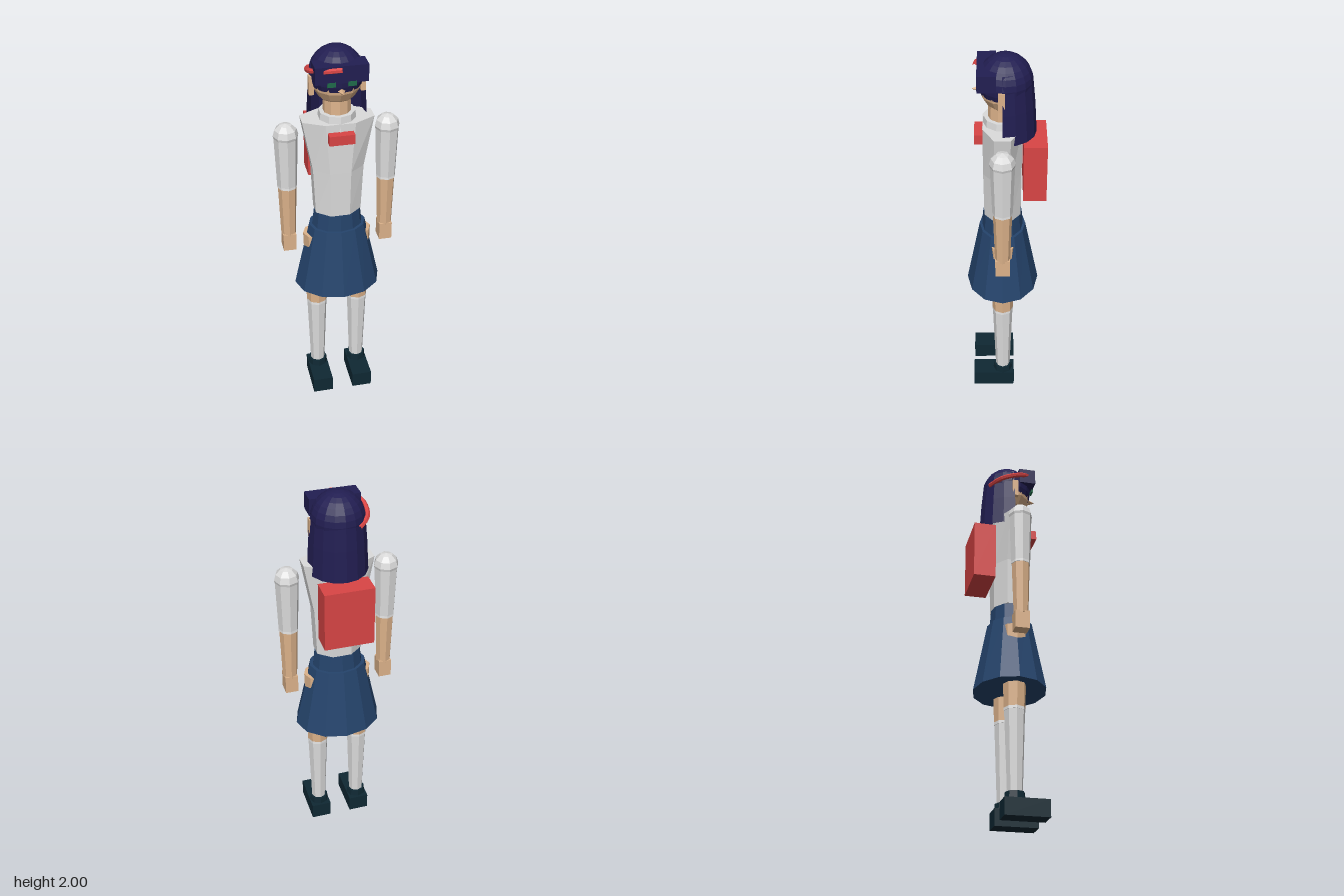
import * as THREE from 'three';

const mat = (name, color, double = false) => {
  const m = new THREE.MeshStandardMaterial({ color, flatShading: true });
  m.name = name;
  if (double) m.side = THREE.DoubleSide;
  return m;
};

export function createModel() {
  const hair = mat('hair purple', 0x221e52, true);
  const skin = mat('skin tan', 0xdcb28a);
  const shirt = mat('shirt grey', 0xdcdcdc);
  const trim = mat('trim white', 0xf8f8f8);
  const navy = mat('skirt navy', 0x25446c);
  const shoe = mat('shoe dark', 0x0f2833);
  const red = mat('accent red', 0xd94545);
  const green = mat('eye green', 0x1f6b4a);

  const model = new THREE.Group();
  model.name = 'student';
  const Z = 0.012; // centre line of the body

  const add = (name, geo, material, x = 0, y = 0, z = 0, parent = model) => {
    const mesh = new THREE.Mesh(geo, material);
    mesh.name = name;
    mesh.position.set(x, y, z);
    parent.add(mesh);
    return mesh;
  };
  // box given by its low and high corners
  const box = (name, m, [x0, y0, z0], [x1, y1, z1], parent = model) =>
    add(name, new THREE.BoxGeometry(x1 - x0, y1 - y0, z1 - z0), m,
      (x0 + x1) / 2, (y0 + y1) / 2, (z0 + z1) / 2, parent);
  // tapered limb or ring between two heights
  const taper = (name, m, yTop, yBottom, rTop, rBottom, sides, x = 0, parent = model) =>
    add(name, new THREE.CylinderGeometry(rTop, rBottom, yTop - yBottom, sides), m,
      x, (yTop + yBottom) / 2, Z, parent);
  // oval frustum; octagonal ones have flats facing forward and sideways
  const oval = (name, m, yTop, yBottom, [xt, zt], [xb, zb], sides, flatFront) => {
    const geo = new THREE.CylinderGeometry(1, 1, yTop - yBottom, sides);
    if (flatFront) {
      const k = 1 / Math.cos(Math.PI / sides);
      geo.rotateY(Math.PI / sides).scale(k, 1, k);
    }
    const p = geo.attributes.position;
    for (let i = 0; i < p.count; i++) {
      const top = p.getY(i) > 0;
      p.setX(i, p.getX(i) * (top ? xt : xb));
      p.setZ(i, p.getZ(i) * (top ? zt : zb));
    }
    geo.computeVertexNormals();
    return add(name, geo, m, 0, (yTop + yBottom) / 2, Z);
  };

  // torso and clothes
  oval('upperShirt', shirt, 1.64, 1.37, [0.178, 0.095], [0.128, 0.095], 8, true);
  oval('lowerShirt', shirt, 1.37, 1.12, [0.128, 0.095], [0.116, 0.092], 8, true);
  oval('waistband', navy, 1.12, 1.03, [0.12, 0.098], [0.13, 0.105], 12);
  oval('skirt', navy, 1.03, 0.67, [0.147, 0.118], [0.226, 0.188], 12);
  taper('collar', shirt, 1.675, 1.6, 0.09, 0.098, 10);
  taper('neck', skin, 1.78, 1.65, 0.065, 0.07, 10);
  box('chestBow', red, [-0.064, 1.55, 0.1], [0.062, 1.6, 0.148]);
  box('backpack', red, [-0.126, 1.26, -0.205], [0.126, 1.57, -0.09]);

  // arms and legs
  for (const [side, s] of [['left', 1], ['right', -1]]) {
    const arm = new THREE.Group();
    arm.name = side + 'Arm';
    model.add(arm);
    const ax = s * 0.253;
    add('shoulder', new THREE.SphereGeometry(0.063, 8, 6), shirt, ax, 1.562, Z, arm);
    taper('sleeve', shirt, 1.565, 1.285, 0.06, 0.05, 8, ax, arm);
    taper('cuff', trim, 1.285, 1.272, 0.05, 0.05, 8, ax, arm);
    taper('forearm', skin, 1.272, 0.99, 0.047, 0.038, 8, ax, arm);
    box('hand', skin, [ax - 0.033, 0.905, Z - 0.037], [ax + 0.033, 1.0, Z + 0.037], arm);

    const leg = new THREE.Group();
    leg.name = side + 'Leg';
    model.add(leg);
    const lx = s * 0.11;
    taper('thigh', skin, 0.98, 0.545, 0.068, 0.055, 8, lx, leg);
    taper('sockTop', trim, 0.545, 0.53, 0.055, 0.055, 8, lx, leg);
    taper('sock', shirt, 0.53, 0.1, 0.053, 0.038, 8, lx, leg);
    taper('shoeAnkle', shoe, 0.122, 0.08, 0.049, 0.053, 8, lx, leg);
    box('shoe', shoe, [lx - 0.053, 0, -0.05], [lx + 0.053, 0.087, 0.173], leg);
  }

  // head and face
  const head = new THREE.Group();
  head.name = 'head';
  model.add(head);
  add('face', new THREE.SphereGeometry(0.125, 12, 8).scale(1, 1.12, 1), skin, 0, 1.85, 0, head);
  add('nose', new THREE.ConeGeometry(0.018, 0.04, 4).rotateX(Math.PI / 2), skin, 0, 1.82, 0.137, head);
  for (const s of [-1, 1]) {
    box('ear', skin, [s * 0.126 - 0.012, 1.77, 0], [s * 0.126 + 0.012, 1.865, 0.032], head);
    box('eye', green, [s * 0.05 - 0.02, 1.848, 0.122], [s * 0.05 + 0.02, 1.872, 0.131], head);
  }

  // hair: cap, fringe and long curtain down the back
  add('hairCap', new THREE.SphereGeometry(0.132, 16, 9, 0, Math.PI * 2, 0, Math.PI * 0.634)
    .scale(1, 1.02, 1), hair, 0, 1.865, -0.003, head);
  box('fringe', hair, [-0.127, 1.865, 0.04], [0.127, 1.95, 0.13], head);
  const curtain = [[0.151, 1.59], [0.143, 1.75], [0.133, 1.87], [0.112, 1.94]]
    .map(([r, y]) => new THREE.Vector2(r, y));
  add('backHair', new THREE.LatheGeometry(curtain, 8, Math.PI / 2, Math.PI)
    .scale(1, 1, 1.1), hair, 0, 0, 0.012, head);

  // ribbon wrapped round the right side of the hair
  const path = new THREE.CatmullRomCurve3([
    [0, 1.935, 0.14], [-0.08, 1.927, 0.122], [-0.13, 1.91, 0.065],
    [-0.14, 1.89, 0], [-0.122, 1.87, -0.065], [-0.07, 1.85, -0.115],
  ].map((p) => new THREE.Vector3(...p)));
  add('hairRibbon', new THREE.TubeGeometry(path, 14, 0.013, 6), red, 0, 0, 0, head);

  return model;
}
